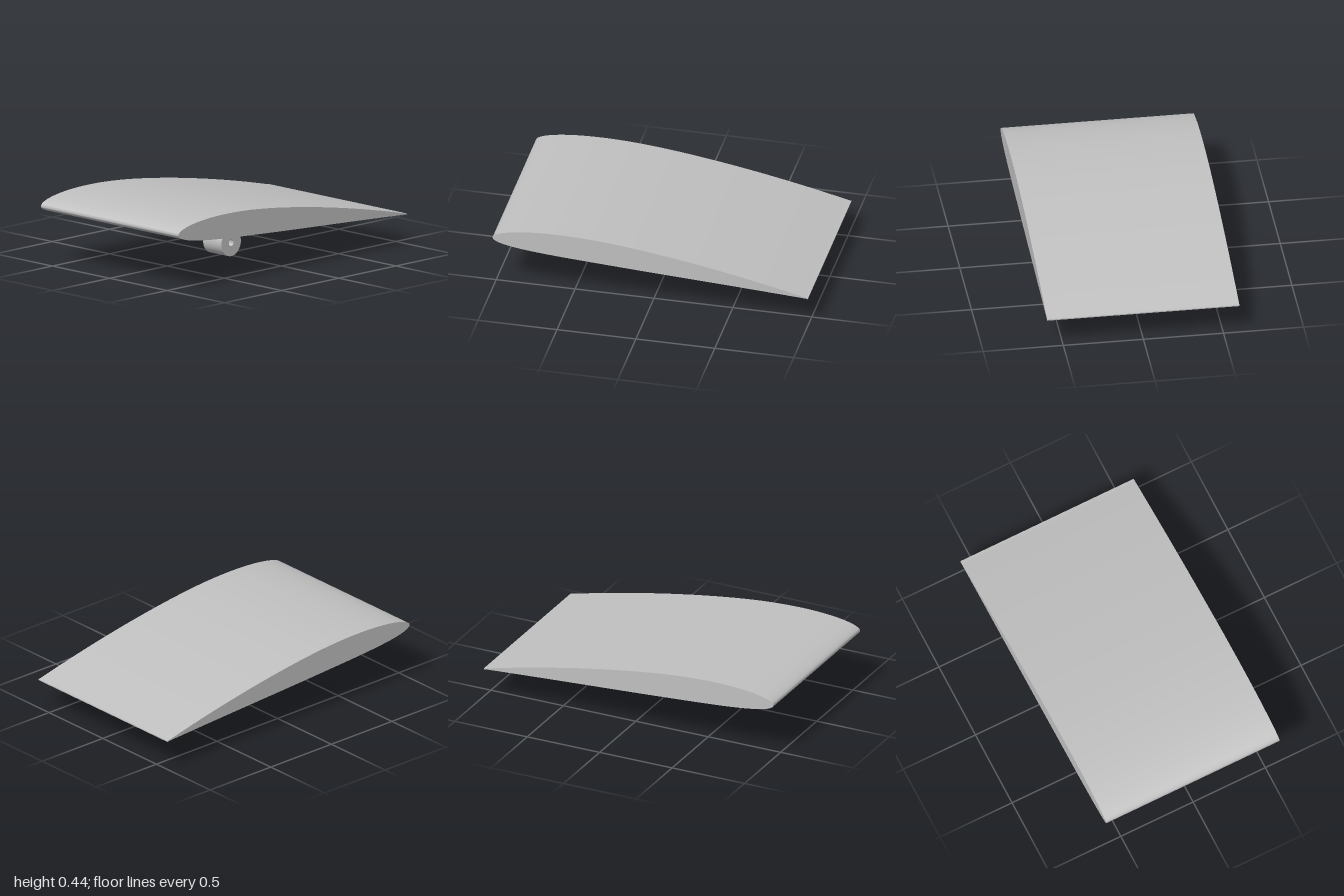
import * as THREE from 'three';
import { toCreasedNormals } from 'three/addons/utils/BufferGeometryUtils.js';

const CHORD = 2.006, PITCH = THREE.MathUtils.degToRad(5);
const THICK = 0.08, CAMBER = 0.02, CAMBER_AT = 0.4;

// Point on the cambered aerofoil, t along the chord, side +1 top, -1 bottom
function foilPoint(t, side) {
  const half = 5 * THICK * (0.2969 * Math.sqrt(t) - 0.126 * t - 0.3516 * t ** 2
    + 0.2843 * t ** 3 - 0.1015 * t ** 4);
  const p = CAMBER_AT, q = t < p ? p : 1 - p;
  const camber = CAMBER / q ** 2 * (t < p ? 2 * p * t - t * t : 1 - 2 * p + 2 * p * t - t * t);
  const rim = t > 0.9 ? Math.max(half, 0.0017) : half;
  return new THREE.Vector2(t * CHORD, (camber + side * rim) * CHORD);
}

// Extrusion centred on z = 0
function slab(shape, depth, curveSegments = 12) {
  const geo = new THREE.ExtrudeGeometry(shape, { depth, bevelEnabled: false, curveSegments });
  geo.translate(0, 0, -depth / 2);
  return toCreasedNormals(geo, 0.7);
}

export function createModel() {
  const model = new THREE.Group();
  model.name = 'wingSection';
  const grey = new THREE.MeshStandardMaterial({ color: 0xc0c0c0 });
  grey.name = 'grey';
  const add = (name, geo, x, y, tilt = 0) => {
    const mesh = new THREE.Mesh(geo, grey);
    mesh.name = name;
    mesh.position.set(x, y, 0);
    mesh.rotation.z = tilt;
    model.add(mesh);
  };

  // Wing: over the top to the trailing edge, then back underneath
  const N = 64, outline = [];
  const along = i => (1 - Math.cos(Math.PI * i / N)) / 2;
  for (let i = 0; i <= N; i++) outline.push(foilPoint(along(i), 1));
  for (let i = N; i > 0; i--) outline.push(foilPoint(along(i), -1));
  add('wing', slab(new THREE.Shape(outline), 1.2), -1, 0.364, -PITCH);

  // Pivot sleeve with a bore
  const ring = new THREE.Shape().absarc(0, 0, 0.085, 0, Math.PI * 2);
  ring.holes.push(new THREE.Path().absarc(0, 0, 0.021, 0, Math.PI * 2, true));
  add('pivotSleeve', slab(ring, 0.16, 48), -0.018, 0.085);

  // Strut between sleeve and wing, square to the chord
  const strut = new THREE.BoxGeometry(0.083, 0.125, 0.106);
  strut.translate(0, 0.1125, 0);
  add('strut', strut, -0.018, 0.085, -PITCH);

  return model;
}
